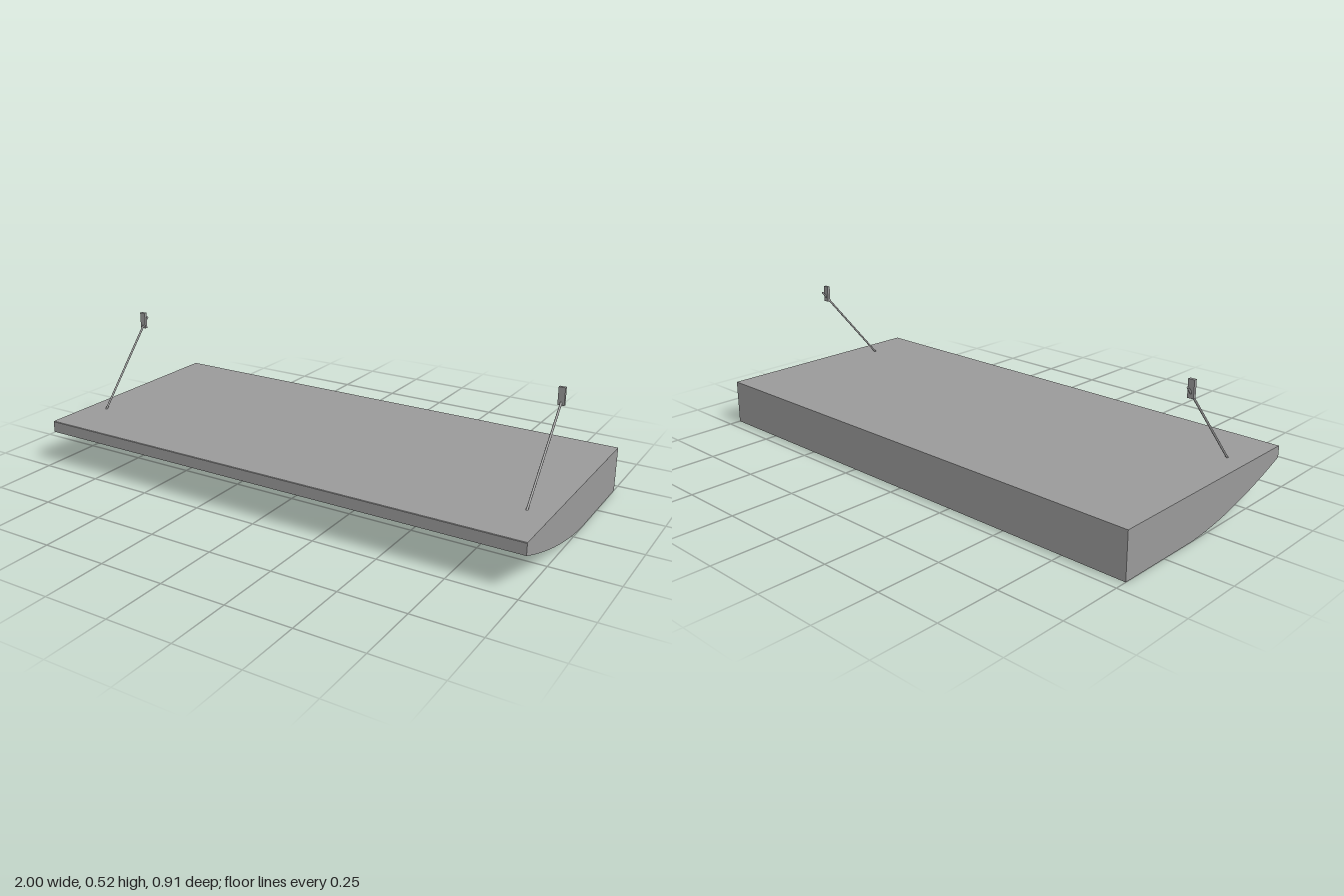
import * as THREE from 'three';
import { mergeGeometries, toCreasedNormals } from 'three/addons/utils/BufferGeometryUtils.js';

const DECK = 0.175, BACK = -0.453, FRONT = 0.453;
const SLOT_CEILING = 0.08;
const SLOTS = [[-0.58, -0.5], [-0.155, 0.155], [0.5, 0.585]];

// Underside as [z, y]: flat at the back, sweeping up towards the front
const underside = [[BACK, 0], [-0.38, 0]];
for (let i = 0; i <= 16; i++) {
  const t = i / 16;
  underside.push([-0.11 + (FRONT + 0.11) * t, 0.13 * t ** 1.7]);
}
const SLOT_FIRST = 1, SLOT_LAST = 12; // underside points at the ends of each slot

const upper = [[FRONT, DECK - 0.002], [FRONT - 0.002, DECK], [BACK, DECK]];
const fullProfile = [...underside, ...upper];

// Opening cut into the underside, and the profile that follows it
const opening = underside.slice(SLOT_FIRST, SLOT_LAST + 1);
const ceiling = [[opening[0][0], SLOT_CEILING], [opening.at(-1)[0], SLOT_CEILING]];
const slotProfile = [
  ...underside.slice(0, SLOT_FIRST + 1), ...ceiling,
  ...underside.slice(SLOT_LAST), ...upper,
];
const slotWall = [...opening, ceiling[1], ceiling[0]];

// Skin swept along x from a closed [z, y] profile
function ribbon(profile, x0, x1) {
  const pos = [];
  profile.forEach(([za, ya], i) => {
    const [zb, yb] = profile[(i + 1) % profile.length];
    pos.push(x0, ya, za, x1, ya, za, x1, yb, zb);
    pos.push(x0, ya, za, x1, yb, zb, x0, yb, zb);
  });
  const geo = new THREE.BufferGeometry();
  geo.setAttribute('position', new THREE.Float32BufferAttribute(pos, 3));
  return geo;
}

// Flat [z, y] outline at x, facing +x (dir 1) or -x (dir -1)
function sideFace(profile, x, dir) {
  const shape = new THREE.Shape(profile.map(([z, y]) => new THREE.Vector2(-dir * z, y)));
  const geo = new THREE.ShapeGeometry(shape).toNonIndexed();
  geo.deleteAttribute('uv');
  geo.deleteAttribute('normal');
  return geo.rotateY(dir * Math.PI / 2).translate(x, 0, 0);
}

function hullGeometry() {
  const parts = [sideFace(fullProfile, -1, -1), sideFace(fullProfile, 1, 1)];
  let x = -1;
  for (const [x0, x1] of SLOTS) {
    parts.push(ribbon(fullProfile, x, x0), ribbon(slotProfile, x0, x1));
    parts.push(sideFace(slotWall, x0, 1), sideFace(slotWall, x1, -1));
    x = x1;
  }
  parts.push(ribbon(fullProfile, x, 1));
  return toCreasedNormals(mergeGeometries(parts), 0.4);
}

// Leaning rod with a small upright plate near its tip
function createStay(x, name, material) {
  const stay = new THREE.Group();
  stay.name = name;
  const foot = new THREE.Vector3(0, DECK - 0.003, 0.235);
  const tip = new THREE.Vector3(0, 0.5, -0.05);
  const axis = tip.clone().sub(foot);
  const rod = new THREE.Mesh(new THREE.CylinderGeometry(0.004, 0.004, axis.length(), 12), material);
  rod.name = 'rod';
  rod.position.copy(foot).lerp(tip, 0.5);
  rod.quaternion.setFromUnitVectors(new THREE.Vector3(0, 1, 0), axis.normalize());
  const plate = new THREE.Mesh(new THREE.BoxGeometry(0.024, 0.065, 0.012), material);
  plate.name = 'plate';
  plate.position.set(0, 0.491, -0.026);
  stay.add(rod, plate);
  stay.position.x = x;
  return stay;
}

export function createModel() {
  const model = new THREE.Group();
  model.name = 'slottedPlatform';
  const material = new THREE.MeshStandardMaterial({ color: 0x999999 });
  const hull = new THREE.Mesh(hullGeometry(), material);
  hull.name = 'hull';
  model.add(hull);
  model.add(createStay(-0.922, 'rightStay', material), createStay(0.911, 'leftStay', material));
  return model;
}
